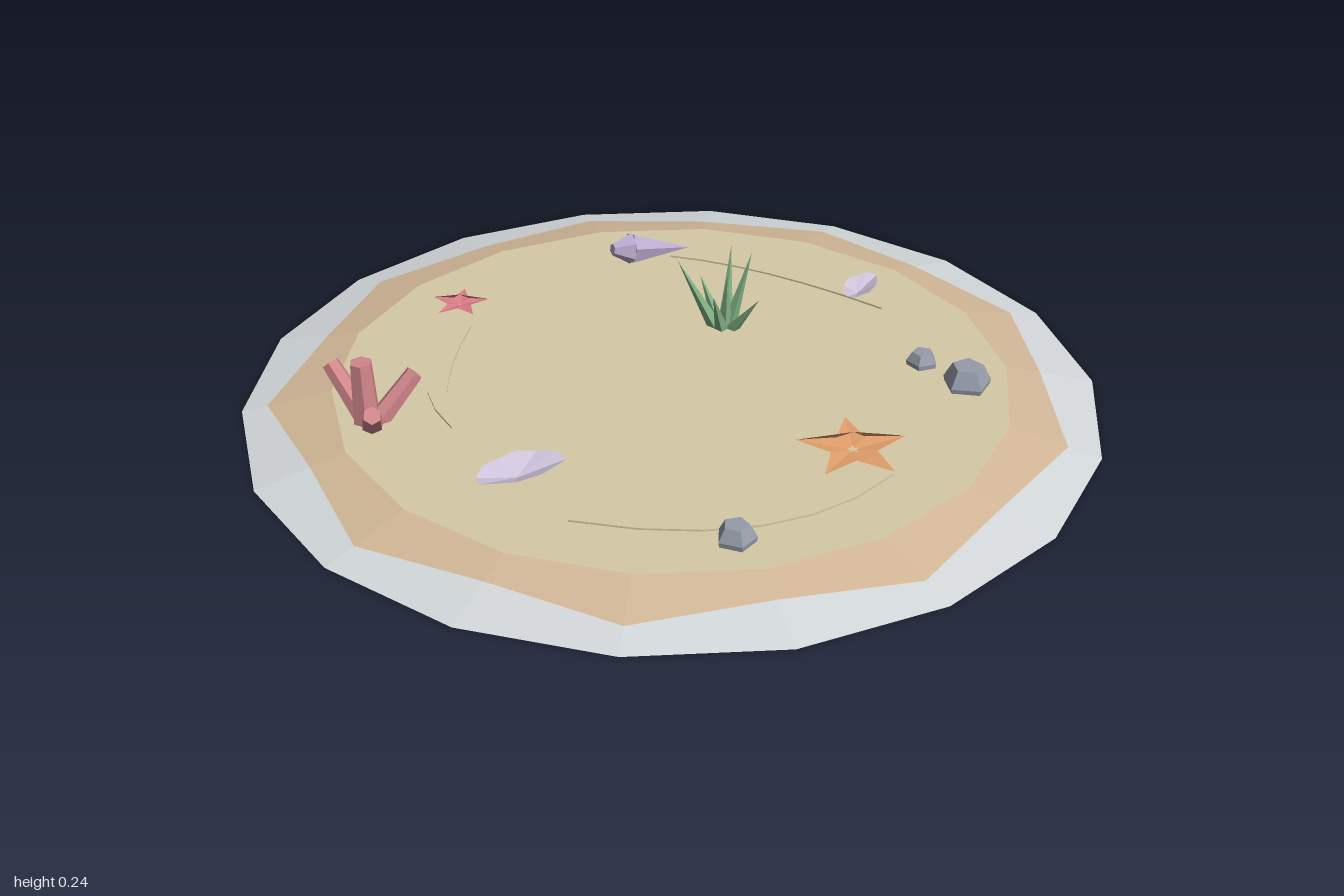
import * as THREE from 'three';

const mat = (name, color, double) => {
  const m = new THREE.MeshStandardMaterial({ color, flatShading: true });
  m.name = name;
  if (double) m.side = THREE.DoubleSide;
  return m;
};

const V = (x, y, z) => new THREE.Vector3(x, y, z);

export function createModel() {
  const root = new THREE.Group();
  root.name = 'sandIsland';
  const foam = mat('foam grey', 0xd3d8da, true);
  const wetSand = mat('wet sand', 0xd3b898, true);
  const sand = mat('dry sand', 0xd5c9a5, true);
  const green = mat('seagrass green', 0x82b184);
  const coralPink = mat('coral pink', 0xd0868a);
  const rosePink = mat('rose pink', 0xdc7c86);
  const orange = mat('starfish orange', 0xe2a06c);
  const lilac = mat('shell lilac', 0xb9aace);
  const paleLilac = mat('pale shell lilac', 0xcbc2da);
  const grey = mat('stone grey', 0x959ca8);

  const add = (name, geometry, material, parent = root) => {
    const m = new THREE.Mesh(geometry, material);
    m.name = name;
    parent.add(m);
    return m;
  };

  // Skin closed loops of points together, in order
  const loft = (loops) => {
    const pos = [];
    for (let j = 0; j < loops.length - 1; j++) {
      const a = loops[j], b = loops[j + 1], n = a.length;
      for (let i = 0; i < n; i++) {
        const k = (i + 1) % n;
        for (const p of [a[i], b[i], b[k], a[i], b[k], a[k]]) pos.push(p.x, p.y, p.z);
      }
    }
    const g = new THREE.BufferGeometry();
    g.setAttribute('position', new THREE.Float32BufferAttribute(pos, 3));
    g.computeVertexNormals();
    return g;
  };

  // Tapered rod between two points
  const rod = (name, a, b, r0, r1, sides, material, parent) => {
    const dir = b.clone().sub(a);
    const m = add(name, new THREE.CylinderGeometry(r1, r0, dir.length(), sides), material, parent);
    m.position.copy(a).add(b).multiplyScalar(0.5);
    m.quaternion.setFromUnitVectors(V(0, 1, 0), dir.normalize());
    return m;
  };

  // Island: foam edge, wet slope and dry top, all on an 18-sided plan
  const ring = (radius) => Array.from({ length: 18 }, (_, i) => {
    const r = radius(i), t = -i * Math.PI / 9;
    return V(r * Math.cos(t), r === 0 ? 0.05 : 0.048 * (1 - r) / 0.21, r * Math.sin(t));
  });
  const edge = ring(() => 1);
  const tide = ring((i) => (i === 9 ? 0.94 : i % 2 ? 0.923 : 0.872));
  const crest = ring(() => 0.79);
  add('foamEdge', loft([edge, tide].map((l) => l.slice().reverse()).reverse()), foam);
  add('wetSlope', loft([tide, crest].map((l) => l.slice().reverse()).reverse()), wetSand);
  add('dryTop', loft([crest, ring(() => 0)].map((l) => l.slice().reverse()).reverse()), sand);

  // Crescent sand ripples: start, outer bulge, inner bulge, end, in x and z
  const ripples = [
    [[0.04, -0.62], [0.36, -0.62], [0.27, -0.55], [0.54, -0.3]],
    [[-0.47, -0.28], [-0.65, -0.05], [-0.55, -0.02], [-0.51, 0.19]],
    [[-0.26, 0.58], [0.19, 0.74], [0.16, 0.63], [0.45, 0.45]],
  ];
  for (const [s, o, n, e] of ripples) {
    const shape = new THREE.Shape();
    shape.moveTo(s[0], -s[1]);
    shape.quadraticCurveTo(o[0], -o[1], e[0], -e[1]);
    shape.quadraticCurveTo(n[0], -n[1], s[0], -s[1]);
    const g = new THREE.ExtrudeGeometry(shape, { depth: 0.006, bevelEnabled: false, curveSegments: 6 });
    add('sandRipple', g.rotateX(-Math.PI / 2), sand).position.y = 0.047;
  }

  // Seagrass tuft: blades fanning out to their tips
  const grass = new THREE.Group();
  grass.name = 'seagrass';
  root.add(grass);
  const tips = [[0.03, 0.235, -0.235], [0.17, 0.215, -0.35], [0.21, 0.24, -0.255], [0.22, 0.155, -0.17],
    [0.11, 0.17, -0.165], [0.09, 0.16, -0.3], [0.15, 0.2, -0.23]];
  for (const [x, y, z] of tips) {
    const base = V(0.145 + (x - 0.145) * 0.15, 0.035, -0.25 + (z + 0.25) * 0.15);
    rod('blade', base, V(x, y, z), 0.019, 0, 4, green, grass);
  }

  // Branching coral
  const coral = new THREE.Group();
  coral.name = 'coral';
  root.add(coral);
  rod('trunk', V(-0.7, 0.025, 0.14), V(-0.705, 0.2, 0.14), 0.034, 0.026, 6, coralPink, coral);
  for (const [x, y, z] of [[-0.78, 0.155, 0.06], [-0.59, 0.145, 0.1], [-0.68, 0.12, 0.24]])
    rod('branch', V(-0.69, 0.03, 0.145), V(x, y, z), 0.027, 0.021, 6, coralPink, coral);

  // Starfish: five ridged arms around a raised centre
  const starfish = (name, x, z, R, h, turn, material) => {
    const star = (scale, y) => Array.from({ length: 10 }, (_, i) => {
      const r = scale * (i % 2 ? R * 0.42 : R), t = turn + i * Math.PI / 5;
      return V(r * Math.sin(t), y, -r * Math.cos(t));
    });
    const loops = [star(0, 0), star(1, 0.006), star(0, h)];
    add(name, loft(loops.map((l) => l.reverse())), material).position.set(x, 0.048, z);
  };
  starfish('largeStarfish', 0.377, 0.34, 0.13, 0.046, 0, orange);
  starfish('smallStarfish', -0.5, -0.4, 0.073, 0.028, 0.15, rosePink);

  // Pointed spiral shell with a blunt mouth
  const spiral = new THREE.Group();
  spiral.name = 'spiralShell';
  root.add(spiral);
  const mouth = V(-0.065, 0.092, -0.592);
  rod('spire', mouth, V(0.085, 0.063, -0.645), 0.041, 0.001, 6, lilac, spiral);
  rod('mouth', mouth, V(-0.112, 0.1, -0.573), 0.041, 0.015, 6, lilac, spiral);

  // Fan shells: half-round rim with a ridge above and a keel below
  const fan = (name, x, y, z, w, d, h, turn, material) => {
    const rim = [];
    for (let i = 0; i < 8; i++) {
      const t = i * Math.PI / 7;
      rim.push(V(w * Math.cos(t), i % 2 ? 0.004 : -0.002, d * (0.4 - Math.sin(t))));
    }
    rim.push(V(-w * 0.3, 0, d * 0.75), V(w * 0.3, 0, d * 0.75));
    const at = (yy) => rim.map(() => V(0, yy, 0));
    const m = add(name, loft([at(h), rim, at(-h)].reverse()), material);
    m.position.set(x, y, z);
    m.rotation.y = turn;
  };
  fan('largeFanShell', -0.365, 0.095, 0.425, 0.107, 0.08, 0.032, 0.48, paleLilac);
  fan('smallFanShell', 0.49, 0.08, -0.375, 0.074, 0.055, 0.024, 1.05, paleLilac);

  // Faceted pebbles
  const stone = (x, z, r, top, turn) => {
    const profile = [[0, 0.035], [r * 0.9, 0.035], [r, 0.06], [r * 0.64, top], [0, top]];
    const g = new THREE.LatheGeometry(profile.map(([a, b]) => new THREE.Vector2(a, b)), 5);
    const m = add('pebble', g, grey);
    m.position.set(x, 0, z);
    m.rotation.y = turn;
  };
  stone(0.68, 0.08, 0.058, 0.1, 0.4);
  stone(0.593, -0.025, 0.038, 0.082, 0.9);
  stone(0.085, 0.675, 0.045, 0.09, 0.2);

  return root;
}
